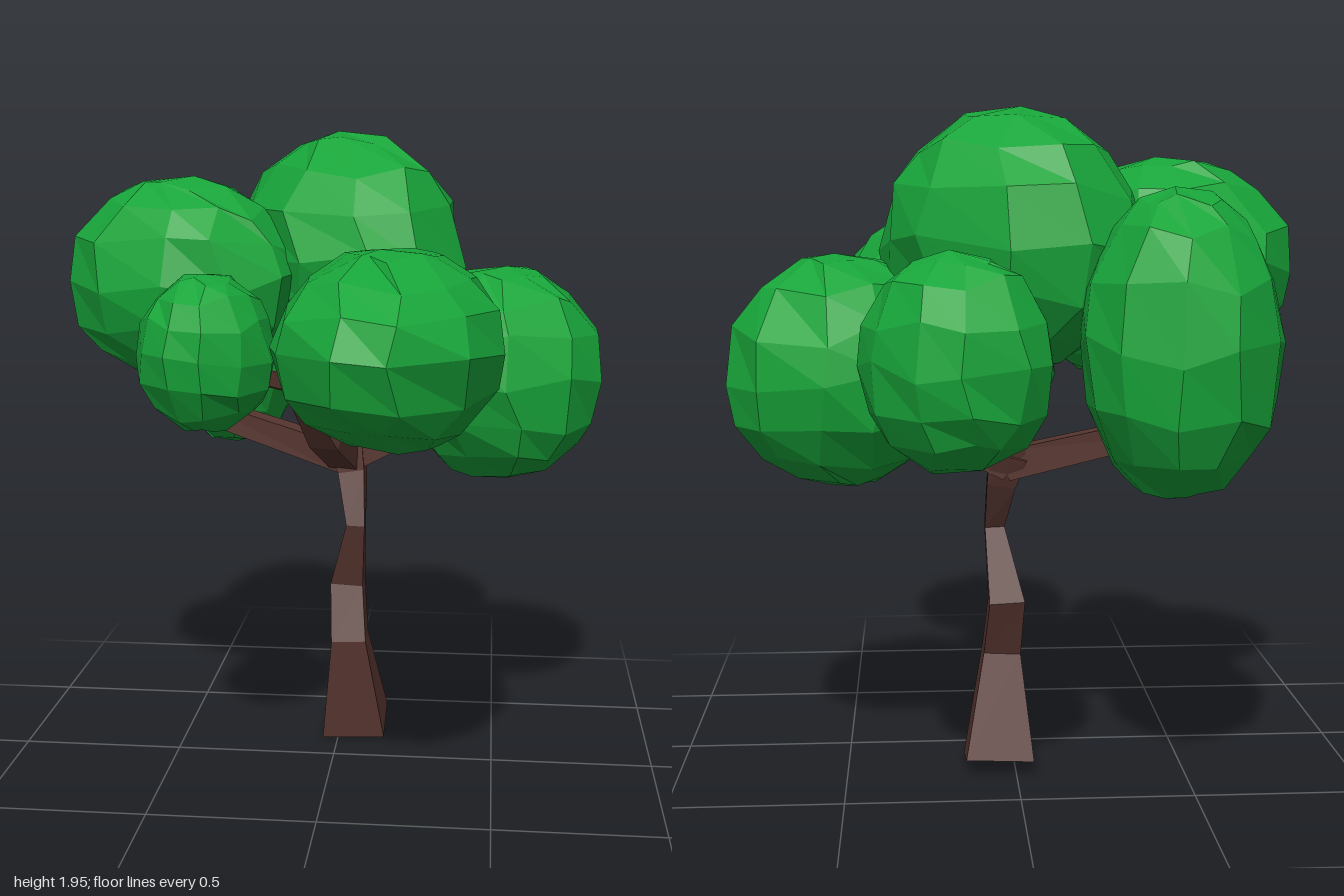
import * as THREE from 'three';

const bark = new THREE.MeshStandardMaterial({ color: 0x56352f, flatShading: true });
const leaf = new THREE.MeshStandardMaterial({ color: 0x18a53a, flatShading: true });

// Square-section limb through rings of [x, y, z, half width]
function limb(name, rings) {
  const c = rings.map(([x, y, z]) => new THREE.Vector3(x, y, z));
  const n = c.length;
  const overall = c[n - 1].clone().sub(c[0]).normalize();
  const ref = Math.abs(overall.y) > 0.75 ? new THREE.Vector3(0, 0, 1) : new THREE.Vector3(0, 1, 0);
  const pos = [], index = [];
  c.forEach((p, i) => {
    const t = c[Math.min(i + 1, n - 1)].clone().sub(c[Math.max(i - 1, 0)]).normalize();
    const a = ref.clone().cross(t).normalize();
    const b = t.clone().cross(a);
    const r = rings[i][3];
    for (const [u, v] of [[1, 1], [-1, 1], [-1, -1], [1, -1]]) {
      pos.push(...p.clone().addScaledVector(a, u * r).addScaledVector(b, v * r).toArray());
    }
    if (i === n - 1) return;
    for (let k = 0; k < 4; k++) {
      const q = i * 4 + k, s = i * 4 + (k + 1) % 4;
      index.push(q, s, s + 4, q, s + 4, q + 4);
    }
  });
  const e = (n - 1) * 4;
  index.push(0, 2, 1, 0, 3, 2, e, e + 1, e + 2, e, e + 2, e + 3);
  const geo = new THREE.BufferGeometry();
  geo.setAttribute('position', new THREE.Float32BufferAttribute(pos, 3));
  geo.setIndex(index);
  geo.computeVertexNormals();
  const mesh = new THREE.Mesh(geo, bark);
  mesh.name = name;
  return mesh;
}

// Repeatable noise in -1..1; equal positions give equal values, so seams stay closed
function noise(x, y, z, seed) {
  const r = (v) => Math.round(v * 1000) / 1000 + 0;
  const s = Math.sin(r(x) * 12.99 + r(y) * 78.23 + r(z) * 37.72 + seed * 5.17) * 4375.85;
  return (s - Math.floor(s)) * 2 - 1;
}

// Faceted, irregular ellipsoid of leaves, turned about the vertical by yaw
function foliage(name, center, radii, yaw, seed) {
  const geo = new THREE.SphereGeometry(1, 11, 8);
  const p = geo.attributes.position;
  const v = new THREE.Vector3();
  for (let i = 0; i < p.count; i++) {
    v.fromBufferAttribute(p, i);
    const { x, y, z } = v;
    v.x += 0.1 * noise(x, y, z, seed);
    v.y += 0.1 * noise(x, y, z, seed + 1);
    v.z += 0.1 * noise(x, y, z, seed + 2);
    v.normalize().multiplyScalar(1.005 + 0.03 * noise(x, y, z, seed + 3));
    p.setXYZ(i, v.x * radii[0], v.y * radii[1], v.z * radii[2]);
  }
  geo.computeVertexNormals();
  const mesh = new THREE.Mesh(geo, leaf);
  mesh.name = name;
  mesh.position.set(...center);
  mesh.rotation.y = yaw;
  return mesh;
}

export function createModel() {
  const tree = new THREE.Group();
  tree.name = 'tree';

  // Crooked trunk
  tree.add(limb('trunk', [
    [0.05, 0.025, -0.23, 0.1], [0.037, 0.34, -0.155, 0.055], [0.025, 0.51, -0.22, 0.052],
    [0.057, 0.72, -0.145, 0.029], [0.04, 0.87, -0.21, 0.042], [0.02, 0.96, -0.23, 0.055],
  ]));

  // Branches, each ending inside a clump of leaves
  const fork = [0.02, 0.92, -0.22, 0.045];
  const branches = {
    rightBranch: [fork, [-0.54, 1.07, -0.35, 0.035], [-0.63, 1.26, -0.25, 0.035], [-0.6, 1.4, -0.17, 0.02]],
    leftBranch: [fork, [0.22, 1.01, -0.23, 0.035], [0.45, 1.15, -0.24, 0.025]],
    topBranch: [fork, [0.0, 1.18, -0.29, 0.04], [0.02, 1.45, -0.28, 0.02]],
    frontBranch: [fork, [-0.02, 1.03, -0.02, 0.048], [-0.09, 1.2, 0.09, 0.035]],
    frontLeftTwig: [[-0.1, 1.2, 0.06, 0.03], [-0.01, 1.24, 0.21, 0.025], [0.12, 1.32, 0.4, 0.02]],
    frontRightTwig: [[-0.08, 1.2, 0.07, 0.03], [-0.2, 1.25, 0.23, 0.022], [-0.3, 1.32, 0.4, 0.02]],
  };
  for (const [name, rings] of Object.entries(branches)) tree.add(limb(name, rings));

  // Leaf clumps: center, radii, yaw
  const clumps = {
    topFoliage: [[0.02, 1.57, -0.28], [0.345, 0.37, 0.44], 0.5],
    rightFoliage: [[-0.465, 1.5, -0.06], [0.375, 0.31, 0.3], -0.3],
    frontLeftFoliage: [[0.21, 1.385, 0.56], [0.315, 0.268, 0.44], 0],
    frontRightFoliage: [[-0.31, 1.345, 0.425], [0.195, 0.22, 0.215], 0],
    leftFoliage: [[0.505, 1.2, -0.24], [0.335, 0.335, 0.335], 0],
    backRightFoliage: [[-0.41, 1.3, -0.64], [0.27, 0.42, 0.315], 0],
    backLeftFoliage: [[0.185, 1.27, -0.75], [0.23, 0.285, 0.28], 0.75],
  };
  Object.entries(clumps).forEach(([name, [center, radii, yaw]], i) => {
    tree.add(foliage(name, center, radii, yaw, i * 7 + 1));
  });

  return tree;
}
